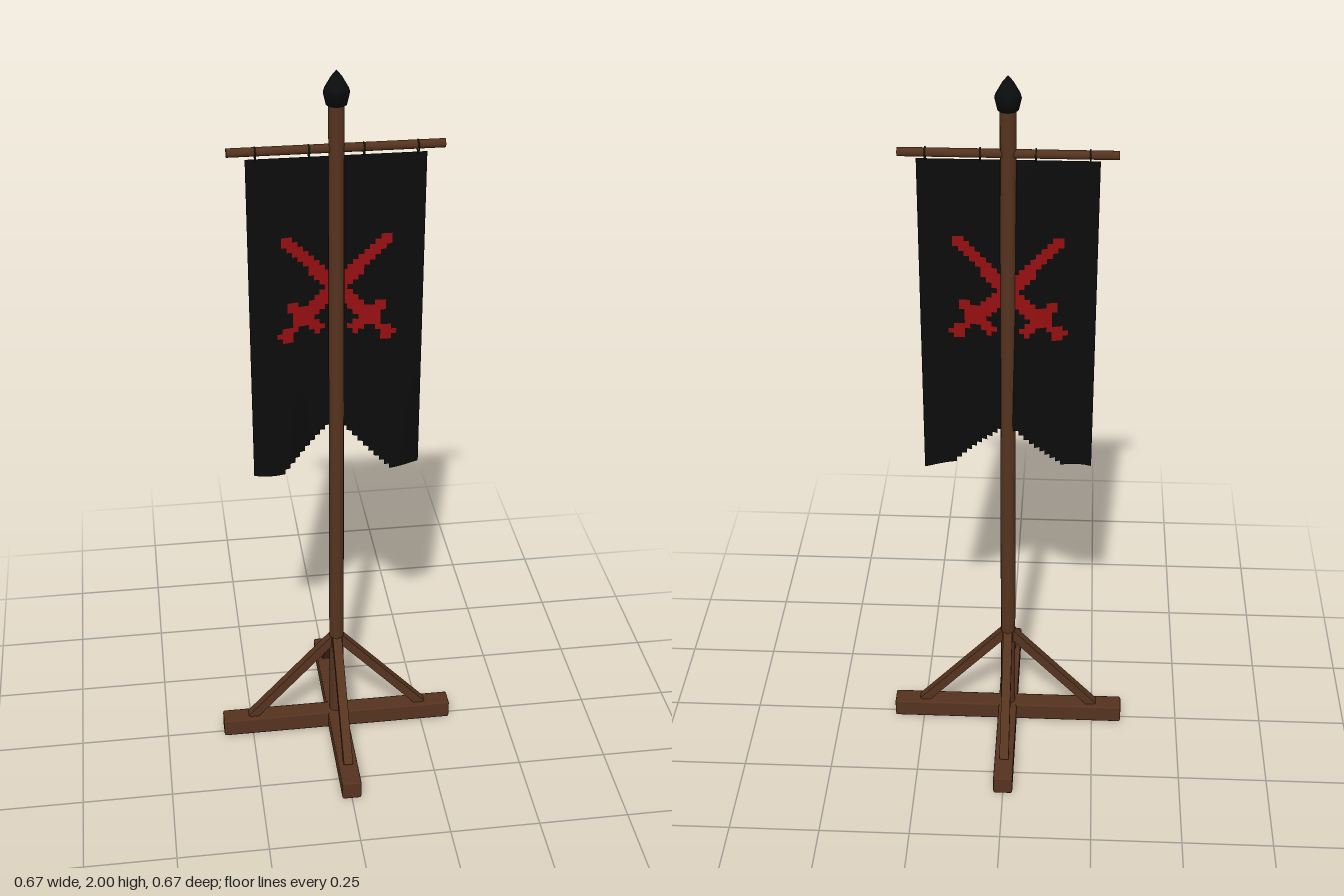
import * as THREE from 'three';
import { RoundedBoxGeometry } from 'three/addons/geometries/RoundedBoxGeometry.js';

const mat = (name, color, extra = {}) => {
  const m = new THREE.MeshStandardMaterial({ color, ...extra });
  m.name = name;
  return m;
};

function add(parent, name, geometry, material, x = 0, y = 0, z = 0) {
  const m = new THREE.Mesh(geometry, material);
  m.name = name;
  m.position.set(x, y, z);
  parent.add(m);
  return m;
}

// Crossed swords, tested at a cell centre; both blades mirror about x = 0
function isEmblem(x, y) {
  const dy = y - 1.432;
  return [1, -1].some((side) => {
    const sx = x * side;
    const along = (sx - dy) / 2; // runs from the blade tip (-) to the pommel (+)
    const across = Math.abs(sx + dy) / 2;
    if (along < -0.14 || along > 0.143) return false;
    if (along > 0.122) return across < 0.016; // pommel
    if (along > 0.07 && along < 0.095) return across < 0.042; // guard
    return across < (along > 0.08 ? 0.009 : 0.0125); // grip, blade
  });
}

// Waving cloth made of small square cells, with a stepped notch at the bottom
function clothGeometry() {
  const cols = 32, rows = 64, w = 0.45, top = 1.785, bottom = 0.89;
  const cw = w / cols, ch = (top - bottom) / rows;
  const pos = [], black = [], red = [];
  for (let r = 0; r <= rows; r++) {
    for (let c = 0; c <= cols; c++) {
      const x = -w / 2 + c * cw;
      const wave = Math.cos((2 * Math.PI * (x - 0.125)) / 0.305);
      pos.push(x, top - r * ch, 0.002 + 0.021 * Math.pow(r / rows, 0.8) * wave);
    }
  }
  for (let r = 0; r < rows; r++) {
    for (let c = 0; c < cols; c++) {
      const x = -w / 2 + (c + 0.5) * cw, y = top - (r + 0.5) * ch;
      if (y < 1.035 - Math.abs(x)) continue;
      const a = r * (cols + 1) + c, b = a + cols + 1;
      (isEmblem(x, y) ? red : black).push(a, b, a + 1, b, b + 1, a + 1);
    }
  }
  const g = new THREE.BufferGeometry();
  g.setAttribute('position', new THREE.Float32BufferAttribute(pos, 3));
  g.setIndex([...black, ...red]);
  g.addGroup(0, black.length, 0);
  g.addGroup(black.length, red.length, 1);
  g.computeVertexNormals();
  return g;
}

export function createModel() {
  const model = new THREE.Group();
  model.name = 'bannerStand';
  const wood = mat('wood', 0x55331f);
  const iron = mat('blackIron', 0x0b0c0d);
  const cord = mat('cord', 0x2f2a1a);
  const cloth = mat('blackCloth', 0x0c0c0c, { side: THREE.DoubleSide });
  const red = mat('redEmblem', 0x960f11, { side: THREE.DoubleSide });

  // Crossed foot beams
  const base = new THREE.Group();
  base.name = 'base';
  model.add(base);
  add(base, 'footBeamSide', new RoundedBoxGeometry(0.67, 0.054, 0.054, 1, 0.005), wood, 0, 0.03, 0);
  add(base, 'footBeamFront', new RoundedBoxGeometry(0.054, 0.056, 0.67, 1, 0.005), wood, 0, 0.028, 0);

  // Four diagonal braces from the beams to the pole
  const inner = new THREE.Vector2(0.008, 0.318), outer = new THREE.Vector2(0.252, 0.052);
  const length = inner.distanceTo(outer);
  const braceGeometry = new THREE.BoxGeometry(0.025, length, 0.026);
  for (let i = 0; i < 4; i++) {
    const arm = new THREE.Group();
    arm.name = 'braceArm';
    arm.rotation.y = (i * Math.PI) / 2;
    base.add(arm);
    const brace = add(arm, 'brace', braceGeometry, wood, (inner.x + outer.x) / 2, (inner.y + outer.y) / 2, 0);
    brace.rotation.z = Math.atan2(outer.x - inner.x, inner.y - outer.y);
  }

  // Pole and pointed finial
  add(model, 'pole', new THREE.CylinderGeometry(0.02, 0.021, 1.91, 12), wood, 0, 0.965, 0);
  const profile = [[0, 1.915], [0.026, 1.915], [0.033, 1.945], [0.03, 1.955], [0.014, 1.983], [0, 2]];
  add(model, 'finial', new THREE.LatheGeometry(profile.map(([x, y]) => new THREE.Vector2(x, y)), 16), iron);

  // Crossbar with the cord loops that carry the cloth
  const bar = add(model, 'crossbar', new THREE.CylinderGeometry(0.012, 0.012, 0.54, 8), wood, 0, 1.803, -0.002);
  bar.rotation.z = Math.PI / 2;
  const loop = new THREE.TorusGeometry(0.0155, 0.002, 6, 16);
  for (const x of [-0.2, -0.068, 0.068, 0.202]) {
    const ring = add(model, 'cordLoop', loop, cord, x, 1.799, 0);
    ring.rotation.y = Math.PI / 2;
  }

  add(model, 'banner', clothGeometry(), [cloth, red]);
  return model;
}
